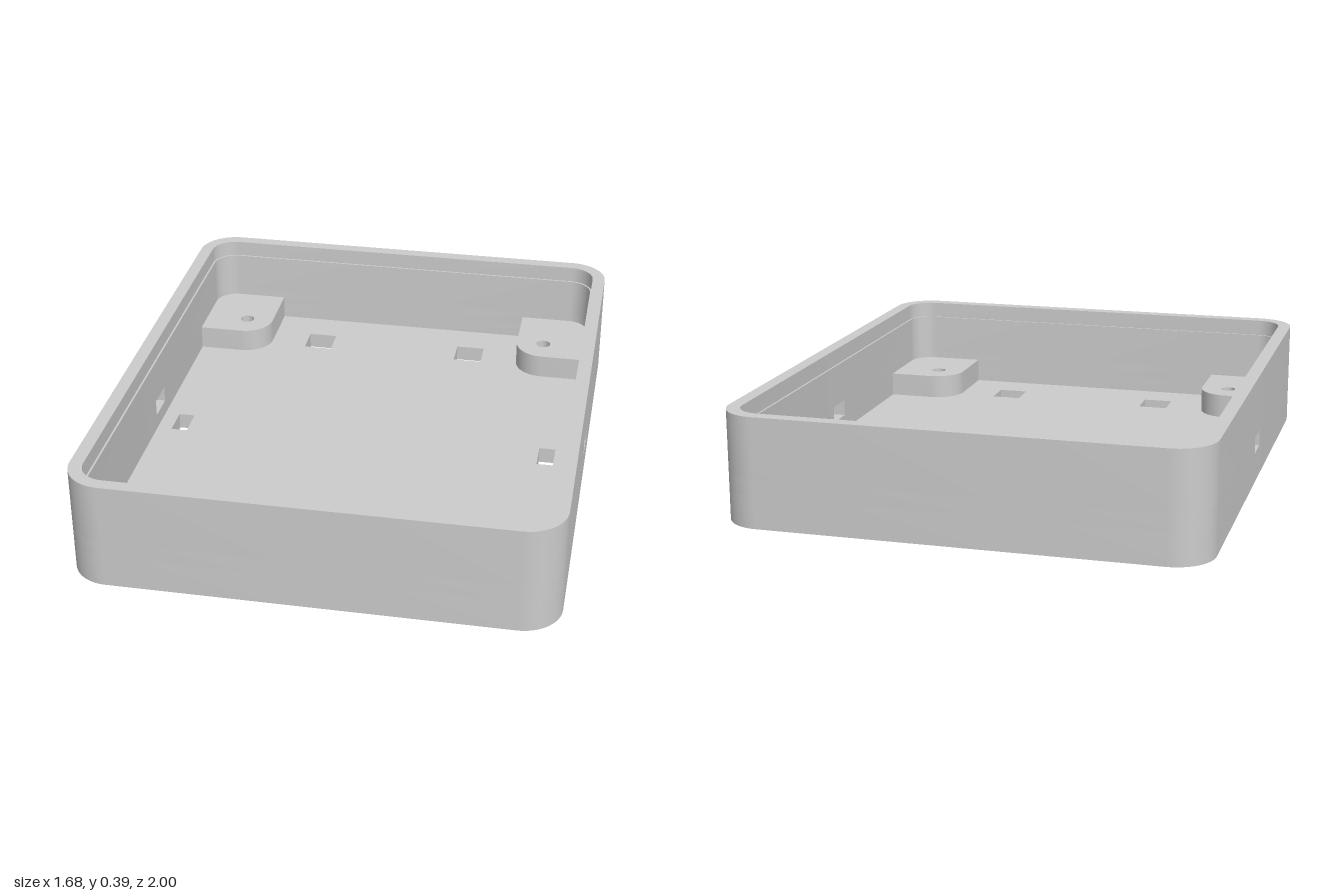
import * as THREE from 'three';
import { mergeGeometries, toCreasedNormals } from 'three/addons/utils/BufferGeometryUtils.js';

const HEIGHT = 0.39, FLOOR = 0.06, LEDGE = 0.33;
const SLOT = { y0: 0.115, y1: 0.175, half: 0.057 };

// Rounded rectangle as [x, z] points, with extra points at the side slot edges
function outline(w, d, r) {
  const pts = [], n = 12, s = SLOT.half;
  const corners = [[1, 1], [-1, 1], [-1, -1], [1, -1]];
  corners.forEach(([sx, sz], k) => {
    if (k === 0) pts.push([w, -s], [w, s]);
    if (k === 2) pts.push([-w, s], [-w, -s]);
    for (let i = 0; i <= n; i++) {
      const a = (k + i / n) * Math.PI / 2;
      pts.push([sx * (w - r) + r * Math.cos(a), sz * (d - r) + r * Math.sin(a)]);
    }
  });
  return pts;
}

function rect(cx, cz, hx, hz) {
  return [[cx + hx, cz - hz], [cx + hx, cz + hz], [cx - hx, cz + hz], [cx - hx, cz - hz]];
}

// Upright band along a closed outline, optionally open at the side slots
function band(pts, y0, y1, outward, gap = false) {
  const pos = [];
  pts.forEach((p, i) => {
    const q = pts[(i + 1) % pts.length], e = SLOT.half + 1e-6;
    if (gap && Math.abs(p[1]) < e && Math.abs(q[1]) < e) return;
    const a = [p[0], y0, p[1]], b = [q[0], y0, q[1]];
    const c = [q[0], y1, q[1]], d = [p[0], y1, p[1]];
    const order = outward ? [a, d, c, a, c, b] : [a, b, c, a, c, d];
    order.forEach(v => pos.push(...v));
  });
  const g = new THREE.BufferGeometry();
  g.setAttribute('position', new THREE.Float32BufferAttribute(pos, 3));
  return toCreasedNormals(g, 0.5);
}

// Level face with holes, facing up or down
function face(pts, holes, y, up = true) {
  const path = list => list.map(([x, z]) => new THREE.Vector2(x, up ? -z : z));
  const shape = new THREE.Shape(path(pts));
  holes.forEach(h => shape.holes.push(new THREE.Path(path(h))));
  const g = new THREE.ShapeGeometry(shape).toNonIndexed();
  g.deleteAttribute('uv');
  return g.rotateX(up ? -Math.PI / 2 : Math.PI / 2).translate(0, y, 0);
}

export function createModel() {
  const model = new THREE.Group();
  const material = new THREE.MeshStandardMaterial({ color: 0xcccccc });
  const add = (name, geometry) => {
    const mesh = new THREE.Mesh(geometry, material);
    mesh.name = name;
    model.add(mesh);
  };

  const outer = outline(0.84, 1, 0.14);
  const inner = outline(0.785, 0.945, 0.085);
  const lip = outline(0.792, 0.952, 0.092);

  // Floor with four square openings and two narrow slots
  const holes = [];
  for (const sx of [-1, 1]) {
    holes.push(rect(sx * 0.7, 0, 0.03, SLOT.half));
    for (const sz of [-1, 1]) holes.push(rect(sx * 0.312, sz * 0.748, 0.055, 0.057));
  }
  add('floor', mergeGeometries([
    face(outer, holes, 0, false),
    face(inner, holes, FLOOR),
    ...holes.map(h => band(h, 0, FLOOR, false)),
  ]));

  // Walls, open at the side slots, with a shallow ledge below the rim
  const walls = [face(outer, [lip], HEIGHT), face(lip, [inner], LEDGE), band(lip, LEDGE, HEIGHT, false)];
  for (const [pts, bottom, top, outward] of [[outer, 0, HEIGHT, true], [inner, FLOOR, LEDGE, false]]) {
    walls.push(
      band(pts, bottom, SLOT.y0, outward),
      band(pts, SLOT.y0, SLOT.y1, outward, true),
      band(pts, SLOT.y1, top, outward));
  }
  add('walls', mergeGeometries(walls));

  // Linings of the side slots
  const slotY = (SLOT.y0 + SLOT.y1) / 2, slotH = (SLOT.y1 - SLOT.y0) / 2;
  for (const s of [-1, 1]) {
    const g = band(rect(0, 0, slotH, SLOT.half), 0.785, 0.84, false);
    add(s > 0 ? 'leftSlot' : 'rightSlot', g.rotateZ(-s * Math.PI / 2).translate(0, slotY, 0));
  }

  // Corner pads with a screw hole
  for (const sx of [-1, 1]) for (const sz of [-1, 1]) {
    const pts = [];
    const arc = (cx, cz, r, start) => {
      for (let i = 0; i <= 12; i++) {
        const a = start + i / 12 * Math.PI / 2;
        pts.push(new THREE.Vector2(sx * (cx + r * Math.cos(a)), -sz * (cz + r * Math.sin(a))));
      }
    };
    pts.push(new THREE.Vector2(sx * 0.79, -sz * 0.613));
    arc(0.7, 0.86, 0.09, 0);
    pts.push(new THREE.Vector2(sx * 0.51, -sz * 0.95));
    arc(0.62, 0.723, 0.11, Math.PI);
    const shape = new THREE.Shape(pts);
    shape.holes.push(new THREE.Path().absarc(sx * 0.617, -sz * 0.723, 0.028, 0, Math.PI * 2));
    const g = new THREE.ExtrudeGeometry(shape, { depth: 0.09, bevelEnabled: false, curveSegments: 12 });
    g.rotateX(-Math.PI / 2).translate(0, FLOOR, 0);
    add((sz > 0 ? 'front' : 'back') + (sx > 0 ? 'Left' : 'Right') + 'Pad', toCreasedNormals(g, 0.6));
  }
  return model;
}
